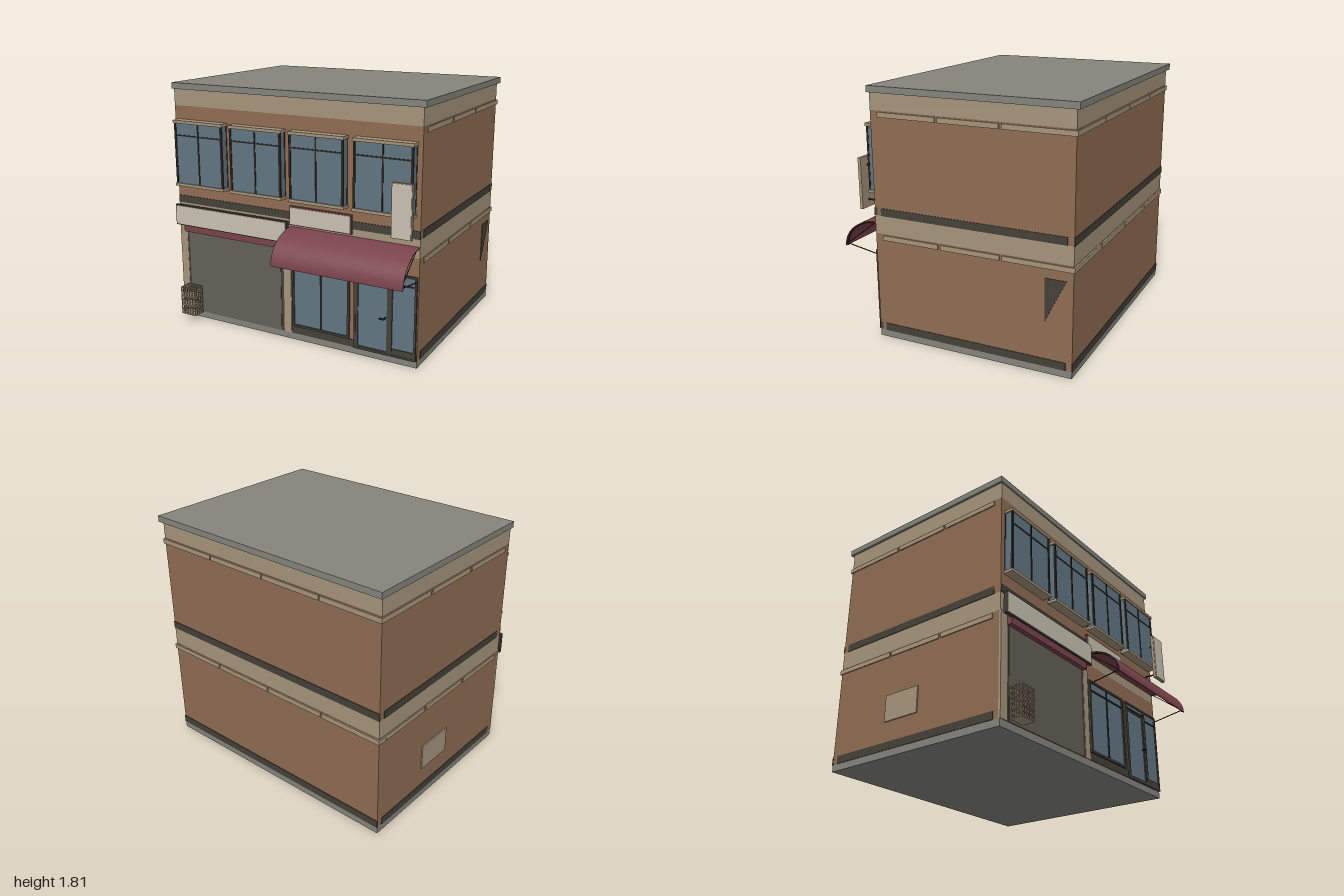
import * as THREE from 'three';

export function createModel() {
  const root = new THREE.Group();
  root.name = 'cornerShop';
  const mat = (name, color) => {
    const m = new THREE.MeshStandardMaterial({ color });
    m.name = name;
    return m;
  };
  const brick = mat('brick', 0x906d53), tan = mat('tanStone', 0xa6957c);
  const grey = mat('concrete', 0x85857e), dark = mat('darkTrim', 0x454039);
  const glass = mat('glass', 0x627683), maroon = mat('maroon', 0x7a434c);
  const cream = mat('signCream', 0xc8c2b2), shutter = mat('shutter', 0x646058);
  const black = mat('frameBlack', 0x2c2823);

  // Box given by its extents
  const box = (name, m, x0, x1, y0, y1, z0, z1, parent = root) => {
    const mesh = new THREE.Mesh(new THREE.BoxGeometry(x1 - x0, y1 - y0, z1 - z0), m);
    mesh.position.set((x0 + x1) / 2, (y0 + y1) / 2, (z0 + z1) / 2);
    mesh.name = name;
    parent.add(mesh);
    return mesh;
  };
  const group = (name) => {
    const g = new THREE.Group();
    g.name = name;
    root.add(g);
    return g;
  };
  const rod = (name, m, a, b, r) => {
    const p = new THREE.Vector3(...a), q = new THREE.Vector3(...b);
    const mesh = new THREE.Mesh(new THREE.CylinderGeometry(r, r, p.distanceTo(q), 8), m);
    mesh.position.copy(p).lerp(q, 0.5);
    mesh.quaternion.setFromUnitVectors(new THREE.Vector3(0, 1, 0), q.sub(p).normalize());
    mesh.name = name;
    root.add(mesh);
  };
  // Rectangular frame of four bars
  const frame = (name, m, x0, x1, y0, y1, z0, z1, w, g) => {
    box(name, m, x0, x0 + w, y0, y1, z0, z1, g);
    box(name, m, x1 - w, x1, y0, y1, z0, z1, g);
    box(name, m, x0 + w, x1 - w, y0, y0 + w, z0, z1, g);
    box(name, m, x0 + w, x1 - w, y1 - w, y1, z0, z1, g);
  };

  // Stacked storeys
  const L = -0.985, R = 0.98, B = -0.865, F = 0.61;
  [['base', grey, 0, 0.05], ['lowerWall', brick, 0.05, 0.78], ['middleBand', tan, 0.78, 0.91],
    ['upperWall', brick, 0.91, 1.645], ['topBand', tan, 1.645, 1.77]]
    .forEach(([n, m, y0, y1]) => box(n, m, L, R, y0, y1, B, F));
  box('roof', grey, -1, 1, 1.765, 1.81, -0.89, 0.62);

  // Dark strips on every wall
  for (const [y0, y1] of [[0.05, 0.105], [0.91, 0.965]]) {
    box('sideStrip', dark, L - 0.004, R + 0.004, y0, y1, -0.82, 0.56);
    box('backStrip', dark, L - 0.002, R + 0.002, y0, y1, B - 0.005, B + 0.005);
    box('frontStrip', dark, y0 < 0.5 ? 0 : L, R, y0, y1, F - 0.02, F + 0.005);
  }

  // Segmented ledges on sides and back
  for (const y of [0.735, 1.6]) {
    for (const z of [0.11, -0.35, -0.8]) {
      const z1 = z === -0.8 ? -0.368 : z + 0.44;
      box('leftLedge', tan, L - 0.008, L + 0.03, y, y + 0.035, z, z1);
      box('rightLedge', tan, R - 0.03, R + 0.008, y, y + 0.035, z, z1);
    }
    for (let i = 0; i < 4; i++) {
      const x = -0.993 + i * 0.4955;
      box('backLedge', tan, x, x + (i < 3 ? 0.487 : 0.495), y, y + 0.035, -0.876, -0.802);
    }
  }

  // Upper bay windows
  for (const [x0, x1] of [[-0.955, -0.52], [-0.465, -0.03], [0.025, 0.455], [0.515, 0.95]]) {
    const g = group('bayWindow'), c = (x0 + x1) / 2;
    box('bayGlass', glass, x0 + 0.008, x1 - 0.008, 1.075, 1.525, 0.6, 0.67, g);
    for (const y of [1.055, 1.525]) box('baySill', tan, x0, x1, y, y + 0.021, 0.6, 0.68, g);
    for (const [a, b] of [[x0 + 0.006, x0 + 0.022], [x1 - 0.022, x1 - 0.006], [c - 0.005, c + 0.005]])
      box('bayPost', black, a, b, 1.076, 1.525, 0.661, 0.675, g);
    box('bayTransom', black, x0 + 0.02, x1 - 0.02, 1.43, 1.44, 0.664, 0.674, g);
    for (const x of [x0 + 0.006, x1 - 0.014])
      box('bayWallPost', black, x, x + 0.008, 1.076, 1.525, 0.6, 0.617, g);
  }

  // Garage front: pillars, frame, shutter and roller box
  box('pillar', tan, L, -0.92, 0.05, 0.78, 0.6, 0.616);
  box('pillar', tan, -0.06, 0, 0.05, 0.78, 0.6, 0.616);
  box('shutterFrame', dark, -0.92, -0.06, 0.05, 0.7, 0.6, 0.614);
  box('shutter', shutter, -0.902, -0.085, 0.05, 0.695, 0.61, 0.617);
  box('rollerBox', maroon, -0.92, -0.06, 0.695, 0.78, 0.6, 0.65);

  // Shop window, door and side window
  const shop = group('shopFront');
  box('displayGlass', glass, 0.02, 0.465, 0.115, 0.64, 0.6, 0.615, shop);
  frame('displayFrame', dark, 0.012, 0.472, 0.108, 0.65, 0.6, 0.625, 0.016, shop);
  box('displayMullion', black, 0.24, 0.25, 0.12, 0.64, 0.61, 0.622, shop);
  box('displayTransom', black, 0.025, 0.46, 0.57, 0.58, 0.61, 0.622, shop);
  box('entranceGlass', glass, 0.52, 0.965, 0.055, 0.64, 0.6, 0.616, shop);
  frame('entranceFrame', dark, 0.508, 0.972, 0.05, 0.65, 0.6, 0.625, 0.014, shop);
  box('entrancePost', dark, 0.774, 0.797, 0.06, 0.645, 0.6, 0.625, shop);
  frame('doorFrame', dark, 0.52, 0.778, 0.055, 0.605, 0.61, 0.623, 0.02, shop);
  box('doorHead', black, 0.52, 0.778, 0.598, 0.608, 0.61, 0.626, shop);
  box('sideTransom', black, 0.795, 0.962, 0.57, 0.58, 0.61, 0.622, shop);
  box('sidePanel', dark, 0.795, 0.962, 0.06, 0.108, 0.61, 0.622, shop);
  box('doorHandle', black, 0.71, 0.75, 0.316, 0.326, 0.642, 0.652, shop);
  box('handleStem', black, 0.74, 0.75, 0.316, 0.326, 0.615, 0.645, shop);

  // Curved awning from an elliptical strip
  const awning = (name, m, x0, x1, r0, r1) => {
    const s = new THREE.Shape();
    const pts = [];
    for (let i = 0; i <= 20; i++) pts.push([i / 20, r1]);
    for (let i = 20; i >= 0; i--) pts.push([i / 20, r0]);
    s.setFromPoints(pts.map(([t, r]) => new THREE.Vector2(
      F + (0.268 + r) * Math.sin(t * Math.PI / 2), 0.645 + (0.213 + r) * Math.cos(t * Math.PI / 2))));
    const mesh = new THREE.Mesh(new THREE.ExtrudeGeometry(s, { depth: x1 - x0, bevelEnabled: false }), m);
    mesh.rotation.y = -Math.PI / 2;
    mesh.position.x = x1;
    mesh.name = name;
    root.add(mesh);
  };
  awning('awning', maroon, 0, 0.98, -0.007, 0);
  for (const x of [0.01, 0.96]) {
    awning('awningRib', black, x, x + 0.01, -0.014, -0.007);
    rod('awningBrace', black, [x + 0.005, 0.66, 0.868], [x + 0.005, 0.615, 0.61], 0.004);
    rod('awningBrace', black, [x + 0.005, 0.66, 0.868], [x + 0.005, 0.845, 0.63], 0.003);
  }

  // Signboards
  box('garageSignMount', dark, -0.9, -0.1, 0.79, 0.85, 0.6, 0.64);
  box('garageSign', dark, L, -0.003, 0.745, 0.902, 0.635, 0.66);
  box('garageSignFace', cream, L + 0.008, -0.011, 0.753, 0.894, 0.657, 0.664);
  box('shopSign', maroon, 0, 0.487, 0.872, 1.01, 0.6, 0.624);
  box('shopSignFace', cream, 0.008, 0.479, 0.88, 1, 0.621, 0.628);
  box('hangingSign', tan, 0.828, 0.972, 0.935, 1.302, 0.716, 0.738);
  box('hangingSignFace', cream, 0.833, 0.967, 0.94, 1.297, 0.737, 0.743);
  for (const y of [0.99, 1.24]) rod('signBracket', black, [0.9, y, 0.6], [0.9, y, 0.72], 0.006);

  // Stack of lattice crates
  for (let k = 0; k < 3; k++) {
    const g = group('crate'), y = 0.055 + k * 0.073, h = 0.07;
    const x0 = -0.92, x1 = -0.79, z0 = 0.635, z1 = 0.728, w = 0.006;
    box('crateFloor', tan, x0, x1, y, y + 0.006, z0, z1, g);
    for (const yy of [y + 0.032, y + h - w]) {
      for (const z of [z0, z1 - w]) box('crateRail', tan, x0, x1, yy, yy + w, z, z + w, g);
      for (const x of [x0, x1 - w]) box('crateRail', tan, x, x + w, yy, yy + w, z0, z1, g);
    }
    for (let i = 0; i < 6; i++) {
      const x = x0 + i * (x1 - x0 - w) / 5;
      for (const z of [z0, z1 - w]) box('crateSlat', tan, x, x + w, y, y + h, z, z + w, g);
    }
    for (let i = 1; i < 4; i++) {
      const z = z0 + i * (z1 - z0 - w) / 4;
      for (const x of [x0, x1 - w]) box('crateSlat', tan, x, x + w, y, y + h, z, z + w, g);
    }
  }

  // Wall details: triangular plate on the right, panel on the left
  const tri = new THREE.Shape([[0.67, 0.67], [0.67, 0.37], [0.82, 0.67]].map(p => new THREE.Vector2(...p)));
  const plate = new THREE.Mesh(new THREE.ExtrudeGeometry(tri, { depth: 0.006, bevelEnabled: false }), dark);
  plate.rotation.y = Math.PI / 2;
  plate.position.x = R - 0.002;
  plate.name = 'triangularPlate';
  root.add(plate);
  box('wallPanel', tan, L - 0.009, L + 0.01, 0.25, 0.44, -0.37, -0.075);
  return root;
}
